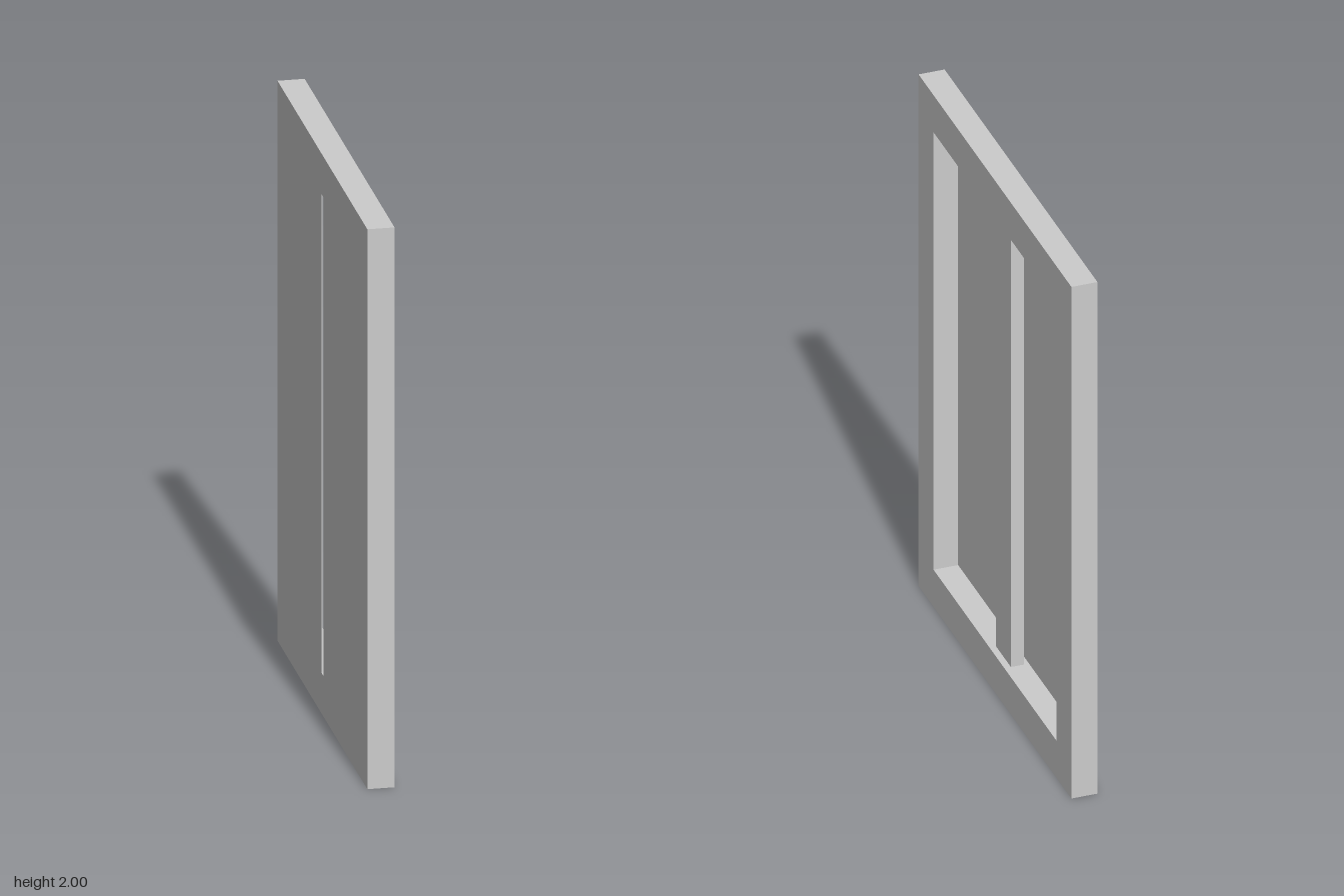
import * as THREE from 'three';

const W = 1.48, H = 2, T = 0.093;      // overall width (z), height, thickness (x)
const BORDER = 0.145;                  // frame border width
const GAP = 0.038, LEAF_T = 0.005;     // slit between the leaves, leaf thickness

export function createModel() {
  const group = new THREE.Group();
  const material = new THREE.MeshStandardMaterial({ color: 0xcccccc, flatShading: true });

  const add = (name, geometry, x, y, z) => {
    const mesh = new THREE.Mesh(geometry, material);
    mesh.name = name;
    mesh.position.set(x, y, z);
    group.add(mesh);
    return mesh;
  };

  const openW = W - 2 * BORDER, openH = H - 2 * BORDER;

  // Rectangular frame with one large opening
  const outline = new THREE.Shape([
    new THREE.Vector2(-W / 2, 0), new THREE.Vector2(W / 2, 0),
    new THREE.Vector2(W / 2, H), new THREE.Vector2(-W / 2, H),
  ]);
  outline.holes.push(new THREE.Path([
    new THREE.Vector2(-openW / 2, BORDER), new THREE.Vector2(-openW / 2, H - BORDER),
    new THREE.Vector2(openW / 2, H - BORDER), new THREE.Vector2(openW / 2, BORDER),
  ]));
  const frame = new THREE.ExtrudeGeometry(outline, { depth: T, bevelEnabled: false });
  frame.translate(0, 0, -T / 2);
  frame.rotateY(Math.PI / 2);
  add('frame', frame, 0, 0, 0);

  // Two thin leaves flush with the back, with a narrow slit between them
  const leafW = (openW - GAP) / 2;
  for (const side of [-1, 1]) {
    add(side > 0 ? 'frontLeaf' : 'rearLeaf', new THREE.BoxGeometry(LEAF_T, openH, leafW),
      -T / 2 + LEAF_T / 2, H / 2, side * (GAP + leafW) / 2);
  }

  // Upright bar standing in the middle of the opening, just ahead of the slit
  add('centreBar', new THREE.BoxGeometry(T / 2, openH, 0.142), 0, H / 2, -0.02);

  return group;
}
